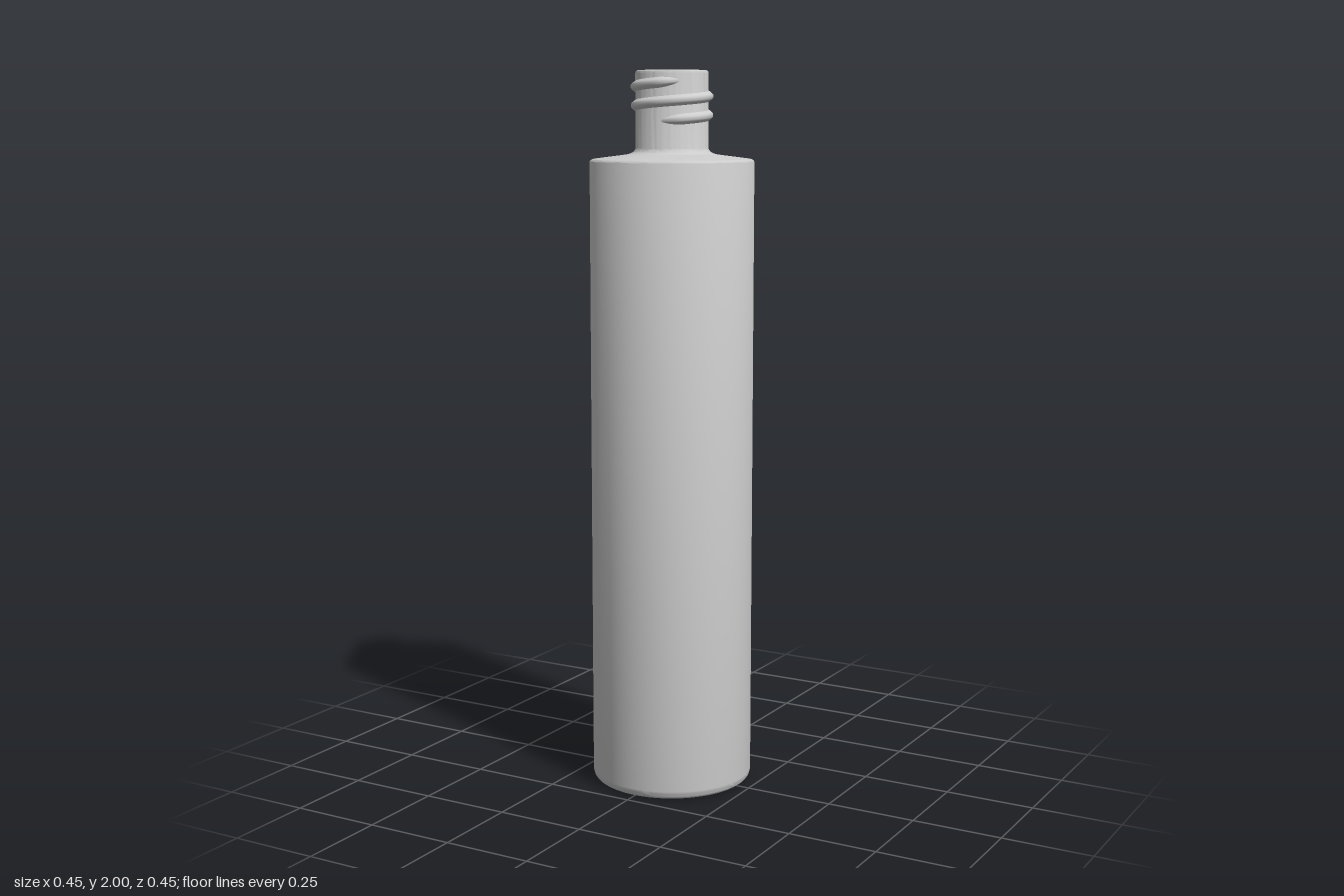
import * as THREE from 'three';
import { toCreasedNormals } from 'three/addons/utils/BufferGeometryUtils.js';

const material = new THREE.MeshStandardMaterial({ color: 0xcccccc, side: THREE.DoubleSide });
const NECK_R = 0.1;

// Outer and inner wall drawn as one continuous profile
function bottleProfile() {
  const path = new THREE.Path();
  path.moveTo(0, 0);
  path.lineTo(0.2, 0);
  path.quadraticCurveTo(0.226, 0, 0.226, 0.026); // rounded foot
  path.lineTo(0.226, 1.752);
  path.quadraticCurveTo(0.226, 1.76, 0.214, 1.762); // shoulder edge
  path.lineTo(0.128, 1.773);
  path.quadraticCurveTo(NECK_R + 0.004, 1.776, NECK_R, 1.79); // fillet into neck
  path.lineTo(NECK_R, 1.992);
  path.quadraticCurveTo(NECK_R, 2, 0.092, 2); // lip
  path.lineTo(0.068, 2);
  path.lineTo(0.068, 1.77);
  path.quadraticCurveTo(0.068, 1.745, 0.1, 1.743); // inside of shoulder
  path.lineTo(0.2, 1.735);
  path.lineTo(0.2, 0.03);
  path.lineTo(0, 0.03);
  return path.getPoints(6);
}

// Helical ridge: a rounded section swept round the neck, fading out at both ends
function threadGeometry(startY, pitch, turns) {
  const section = [[-0.003, -0.016], [0.002, -0.0135], [0.009, -0.008], [0.0125, -0.004],
    [0.0125, 0.004], [0.009, 0.008], [0.002, 0.0135], [-0.003, 0.016]];
  const steps = Math.round(turns * 72), n = section.length;
  const positions = [], index = [];
  for (let i = 0; i <= steps; i++) {
    const t = i / steps, a = t * turns * Math.PI * 2;
    const fade = THREE.MathUtils.smoothstep(Math.min(t, 1 - t), 0, 0.06);
    for (const [dr, dy] of section) {
      const r = NECK_R - 0.003 + (dr + 0.003) * fade;
      positions.push(r * Math.sin(a), startY + t * turns * pitch + dy * (0.4 + 0.6 * fade), r * Math.cos(a));
    }
    if (i === steps) break;
    for (let j = 0; j < n - 1; j++) {
      const p = i * n + j, q = p + n;
      index.push(p, q, p + 1, q, q + 1, p + 1);
    }
  }
  const geometry = new THREE.BufferGeometry();
  geometry.setAttribute('position', new THREE.Float32BufferAttribute(positions, 3));
  geometry.setIndex(index);
  geometry.computeVertexNormals();
  return geometry;
}

export function createModel() {
  const group = new THREE.Group();
  group.name = 'bottle';

  // Hollow body with shoulder and neck
  const body = new THREE.Mesh(
    toCreasedNormals(new THREE.LatheGeometry(bottleProfile(), 96), 0.6), material);
  body.name = 'body';

  // Screw thread on the neck
  const thread = new THREE.Mesh(threadGeometry(1.863, 0.051, 2.15), material);
  thread.name = 'neckThread';

  group.add(body, thread);
  return group;
}
